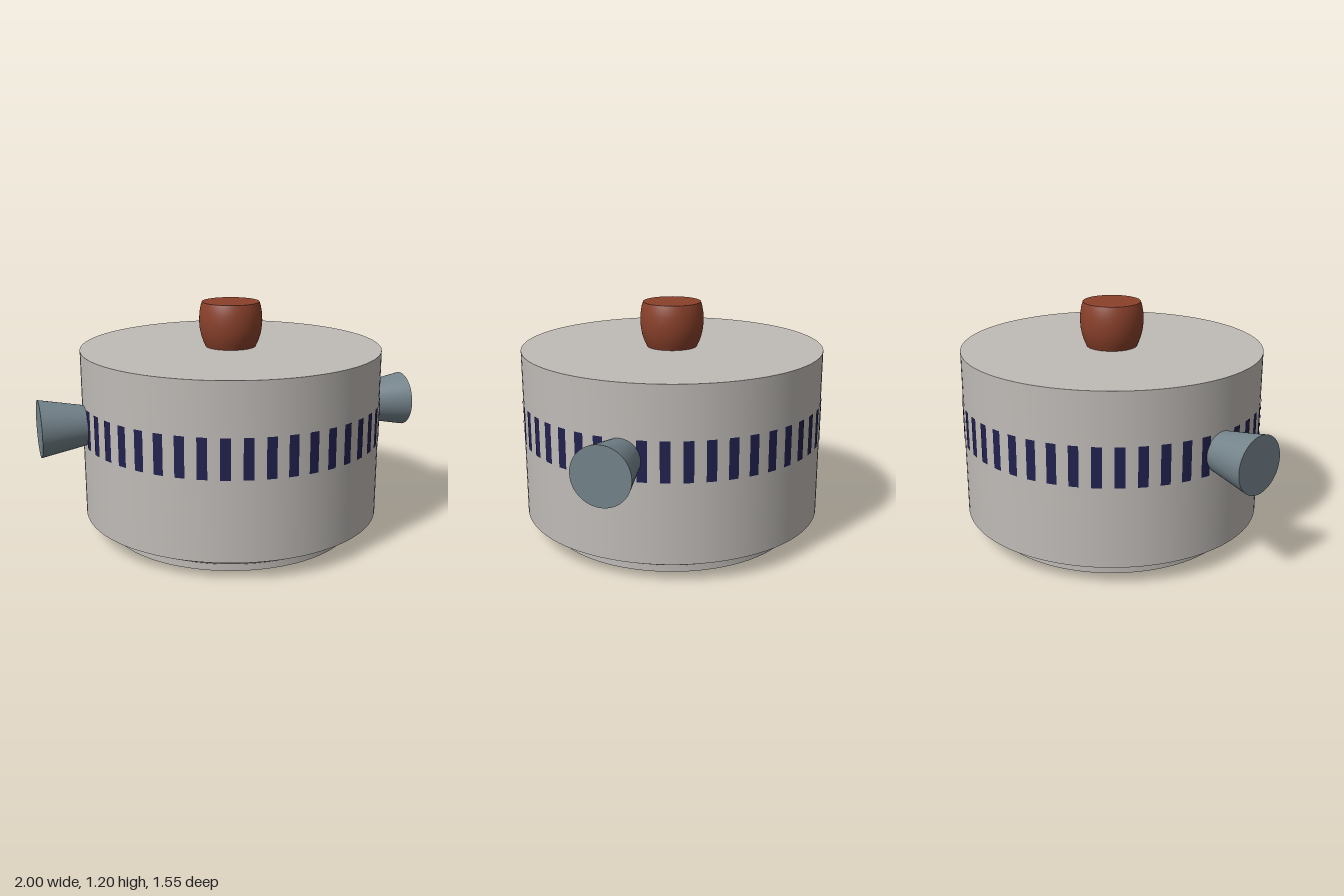
import * as THREE from 'three';
import { toCreasedNormals } from 'three/addons/utils/BufferGeometryUtils.js';

const paint = (name, color) => {
  const m = new THREE.MeshStandardMaterial({ color });
  m.name = name;
  return m;
};

export function createModel() {
  const group = new THREE.Group();
  group.name = 'cookingPot';

  const enamel = paint('warm grey enamel', 0xbfbbb7);
  const wood = paint('reddish brown', 0x8b412b);
  const steel = paint('blue grey', 0x74838b);
  const navy = paint('navy', 0x21214f);
  navy.side = THREE.DoubleSide;

  const add = (name, geometry, material, parent = group) => {
    const mesh = new THREE.Mesh(geometry, material);
    mesh.name = name;
    parent.add(mesh);
    return mesh;
  };
  const lathe = (points, sides) => toCreasedNormals(
    new THREE.LatheGeometry(points.map(([r, y]) => new THREE.Vector2(r, y)), sides), 0.45);

  // Pot: foot ring, sloped underside, straight wall and flat lid
  add('potBody', lathe([
    [0, 0], [0.65, 0], [0.65, 0.035], [0.775, 0.1], [0.775, 0.967], [0, 0.967],
  ], 128), enamel);

  // Barrel-shaped lid knob, cut flat on top
  add('lidKnob', lathe([
    [0, 0.96], [0.127, 0.96], [0.141, 0.99], [0.153, 1.025], [0.16, 1.06],
    [0.163, 1.1], [0.161, 1.14], [0.155, 1.175], [0.148, 1.197], [0, 1.197],
  ], 64), wood);

  // Flared side handles
  for (const [name, side] of [['leftHandle', 1], ['rightHandle', -1]]) {
    const handle = add(name, new THREE.CylinderGeometry(0.145, 0.088, 0.3, 48), steel);
    handle.rotation.z = -side * Math.PI / 2;
    handle.position.set(side * 0.85, 0.605, 0);
  }

  // Band of evenly spaced upright stripes around the wall
  const band = new THREE.Group();
  band.name = 'stripeBand';
  group.add(band);
  const count = 46, step = Math.PI * 2 / count, width = step * 0.46;
  for (let i = 0; i < count; i++) {
    const middle = Math.PI / 2 + i * step;
    const stripe = add('stripe', new THREE.CylinderGeometry(
      0.778, 0.778, 0.2, 4, 1, true, middle - width / 2, width), navy, band);
    stripe.position.y = 0.605;
  }

  return group;
}
